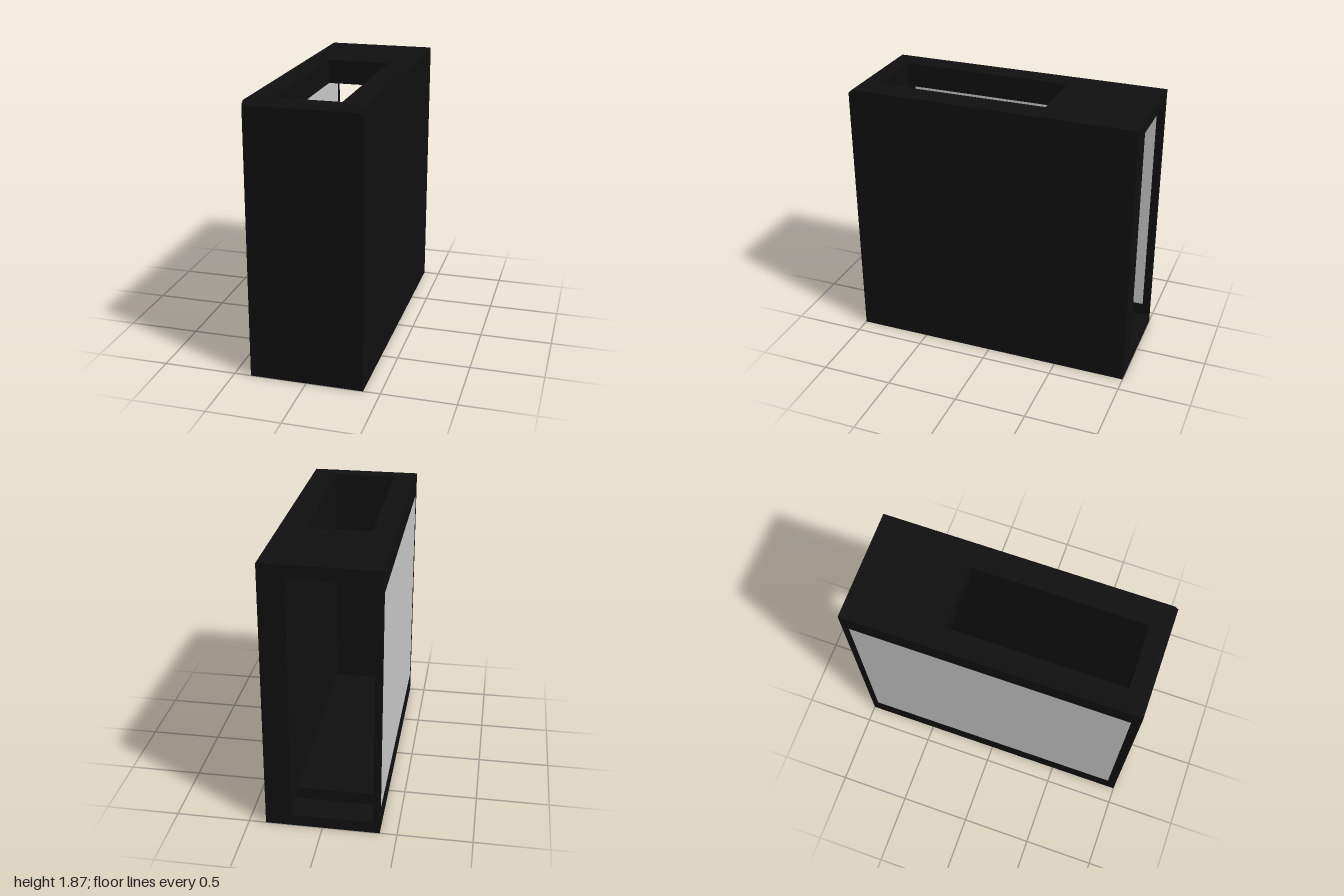
import * as THREE from 'three';

export function createModel() {
  const model = new THREE.Group();
  const black = new THREE.MeshStandardMaterial({ color: 0x101010 });
  const grey = new THREE.MeshStandardMaterial({ color: 0xcccccc });

  const W = 0.385, H = 1.87, BEVEL = 0.025;
  const innerLeft = -0.34, innerRight = 0.21; // cavity limits in x
  const wellX = -0.23, wellBack = -0.34, wellFront = 0.86; // opening in the roof
  const floorY = 0.165, roofY = 1.7;

  // Extrudes a (z, y) side profile from x0 to x1
  function slab(name, points, x0, x1, hole) {
    const toVec = ([z, y]) => new THREE.Vector2(z, y);
    const shape = new THREE.Shape(points.map(toVec));
    if (hole) shape.holes.push(new THREE.Path(hole.map(toVec)));
    const geo = new THREE.ExtrudeGeometry(shape, { depth: x1 - x0, bevelEnabled: false });
    geo.rotateY(-Math.PI / 2);
    geo.translate(x1, 0, 0);
    const mesh = new THREE.Mesh(geo, black);
    mesh.name = name;
    model.add(mesh);
  }

  // Side outline with the small chamfer on the front top edge
  const chamfer = [[1, H - BEVEL], [1 - BEVEL, H]];
  const outline = [[-1, 0], [1, 0], ...chamfer, [-1, H]];
  // Stepped edges of the rear opening
  const floorStep = [[-0.8, floorY], [-0.8, 0.08], [-1, 0.08]];
  const roofStep = [[-1, 1.79], [-0.8, 1.79], [-0.8, roofY]];

  // Thick closed side
  slab('closedSideWall', outline, innerRight, W);

  // Window side
  const z0 = -0.95, z1 = 0.94, y0 = 0.17, y1 = 1.71;
  slab('windowFrame', outline, -W, innerLeft, [[z0, y0], [z0, y1], [z1, y1], [z1, y0]]);
  const glass = new THREE.Mesh(new THREE.BoxGeometry(innerLeft + W, y1 - y0, z1 - z0), grey);
  glass.position.set((innerLeft - W) / 2, (y0 + y1) / 2, (z0 + z1) / 2);
  glass.name = 'windowPanel';
  model.add(glass);

  // Floor, front and roof beside the roof opening
  slab('roofFrontAndFloor', [
    [-1, 0], [1, 0], ...chamfer, [-1, H], ...roofStep,
    [wellFront, roofY], [wellFront, floorY], ...floorStep,
  ], innerLeft, wellX);

  // Floor and front at the roof opening
  slab('frontAndFloor', [
    [-1, 0], [1, 0], ...chamfer, [wellFront, H], [wellFront, floorY], ...floorStep,
  ], wellX, innerRight);

  // Roof behind the opening
  slab('rearRoof', [
    ...roofStep, [wellBack, roofY], [wellBack, H], [-1, H],
  ], wellX, innerRight);

  return model;
}
